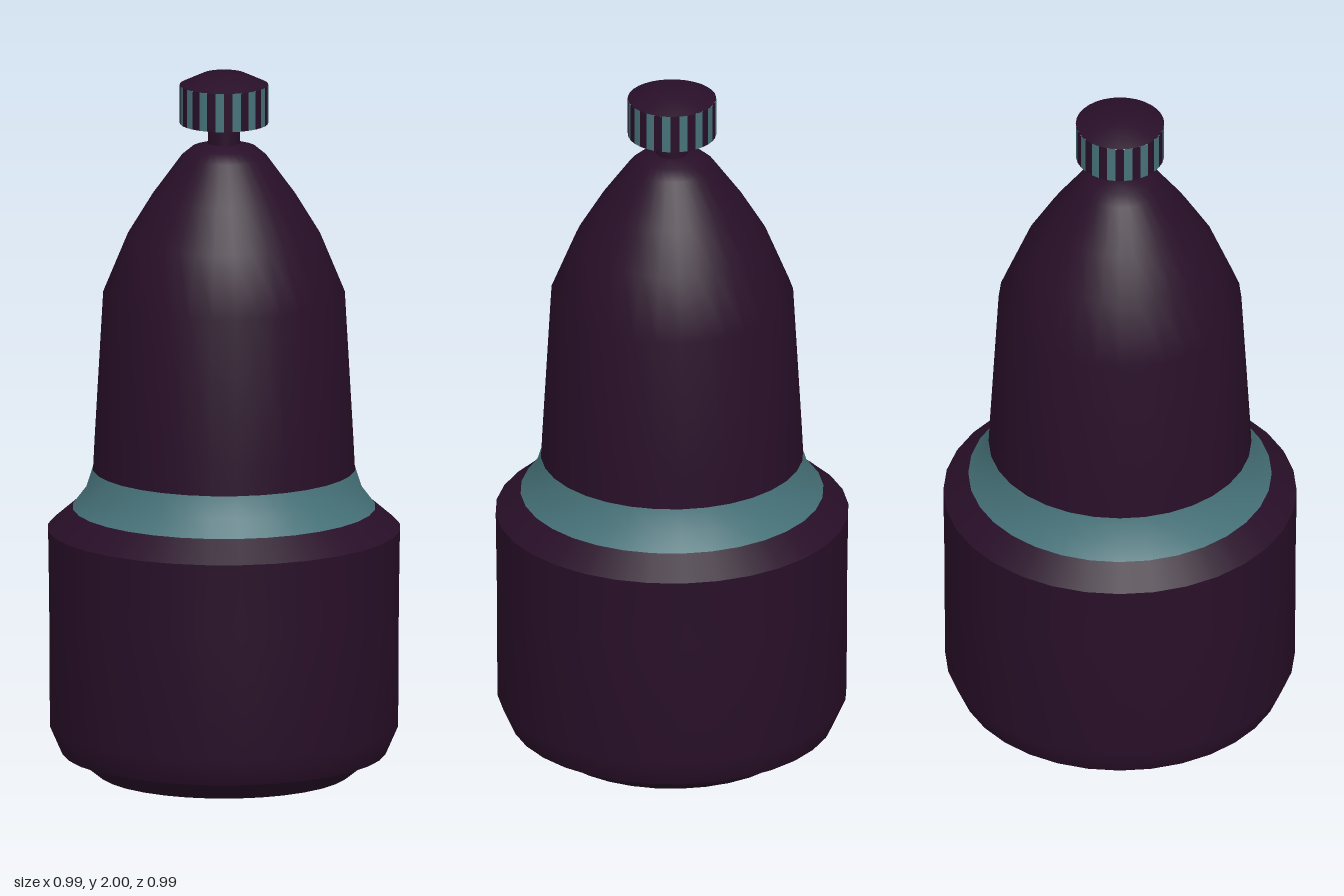
import * as THREE from 'three';

const SIDES = 32;

export function createModel() {
  const purple = new THREE.MeshStandardMaterial({ color: 0x280f28 });
  purple.name = 'dark plum';
  const teal = new THREE.MeshStandardMaterial({ color: 0x467279 });
  teal.name = 'muted teal';

  const model = new THREE.Group();
  model.name = 'bottle';

  // Turned section: [radius, height] pairs listed from the bottom up, smooth within
  function turned(name, material, parent, profile) {
    const points = profile.map(([r, y]) => new THREE.Vector2(r, y));
    const mesh = new THREE.Mesh(new THREE.LatheGeometry(points, SIDES), material);
    mesh.name = name;
    parent.add(mesh);
  }

  // Base: recessed foot, bevels, wall and shoulder
  const base = new THREE.Group();
  base.name = 'base';
  turned('footRecess', purple, base, [[0, 0.03], [0.1, 0.025], [0.18, 0]]);
  turned('footRing', purple, base, [[0.18, 0], [0.355, 0]]);
  turned('footBevel', purple, base, [[0.355, 0], [0.43, 0.06]]);
  turned('footLip', purple, base, [[0.43, 0.06], [0.455, 0.06]]);
  turned('baseWall', purple, base, [[0.455, 0.06], [0.49, 0.14], [0.492, 0.5], [0.495, 0.7]]);
  turned('shoulder', purple, base, [[0.495, 0.7], [0.425, 0.76]]);
  model.add(base);

  // Flared collar
  turned('collar', teal, model, [[0.425, 0.76], [0.387, 0.81], [0.368, 0.87]]);

  // Upper body tapering to a dome
  turned('upperBody', purple, model, [
    [0.368, 0.87], [0.364, 0.95], [0.34, 1.37], [0.27, 1.54], [0.2, 1.655],
    [0.12, 1.765], [0.09, 1.79], [0.045, 1.803],
  ]);
  turned('neck', purple, model, [[0.045, 1.79], [0.045, 1.865]]);

  // Cap with alternating grip stripes
  const cap = new THREE.Group();
  cap.name = 'cap';
  turned('capUnderside', purple, cap, [[0.04, 1.86], [0.124, 1.86]]);
  turned('capTop', purple, cap, [[0.124, 1.97], [0.06, 2], [0, 2]]);
  const step = (Math.PI * 2) / SIDES;
  const grip = new THREE.CylinderGeometry(0.124, 0.124, 0.11, SIDES, 1, true, -step / 2);
  grip.clearGroups();
  for (let i = 0; i < SIDES; i++) grip.addGroup(i * 6, 6, i % 2);
  const gripMesh = new THREE.Mesh(grip, [teal, purple]);
  gripMesh.name = 'capGrip';
  gripMesh.position.y = 1.915;
  cap.add(gripMesh);
  model.add(cap);

  return model;
}
